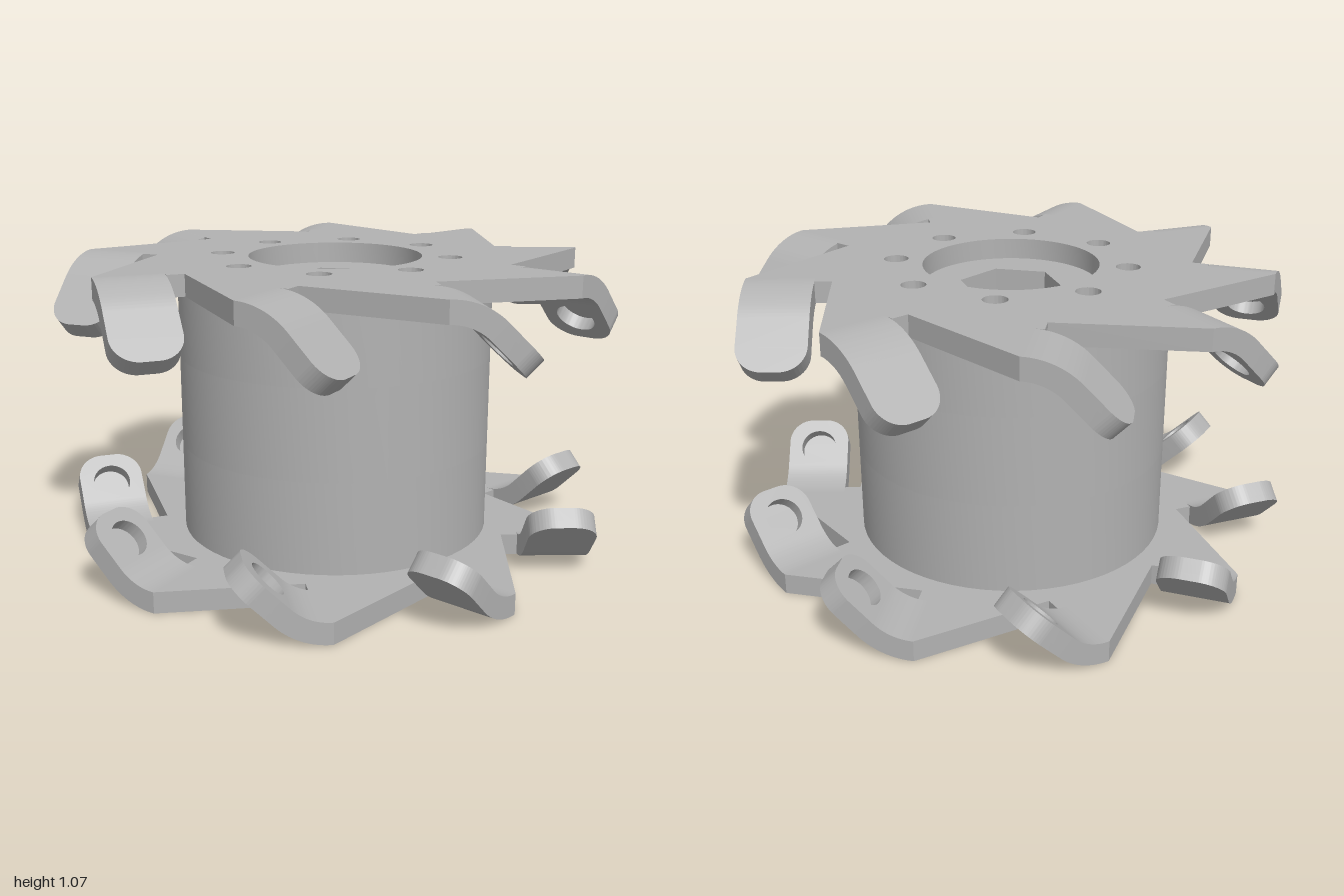
import * as THREE from 'three';
import { mergeGeometries, toCreasedNormals } from 'three/addons/utils/BufferGeometryUtils.js';

const BLADES = 9, STEP = (Math.PI * 2) / BLADES;
const T = 0.075;                    // plate thickness
const HEIGHT = 1.065;
const U0 = 0.17, R = 0.26;          // bend start and outer bend radius
const V0 = 0.66, W = 0.235;         // inner edge and width of a blade
const BEND = Math.PI / 4, TIP = 0.193;
const BOLT_TILT = -0.05;

const steel = new THREE.MeshStandardMaterial({ color: 0xb2b2b2 });
steel.name = 'steel grey';

function mesh(name, geometry) {
  const m = new THREE.Mesh(geometry, steel);
  m.name = name;
  return m;
}

const extrude = (shape, depth) => toCreasedNormals(
  new THREE.ExtrudeGeometry(shape, { depth, bevelEnabled: false, curveSegments: 32 }), 0.5);

// Extrude a plan-view shape upwards
const slab = (shape, depth) => extrude(shape, depth).rotateX(-Math.PI / 2);

function circle(x, y, r) {
  const p = new THREE.Path();
  p.absarc(x, y, r, 0, Math.PI * 2, true);
  return p;
}

function hexagon(r, turn) {
  const pts = [];
  for (let i = 0; i < 6; i++) {
    const a = turn - (i * Math.PI) / 3;
    pts.push(new THREE.Vector2(Math.cos(a) * r, Math.sin(a) * r));
  }
  return new THREE.Path(pts);
}

function boltHoles(tilt) {
  return Array.from({ length: 8 }, (_, i) => {
    const a = tilt + (i * Math.PI) / 4;
    return circle(Math.cos(a) * 0.41, Math.sin(a) * 0.41, 0.043);
  });
}

// Star-shaped plate with relief notches, bolt holes and a large centre opening
function plateGeometry(tilt) {
  const tooth = [[-U0, V0 + W], [-U0, V0], [-0.21, V0], [-0.21, 0.6]];
  const pts = [];
  for (let k = 0; k < BLADES; k++) {
    for (const [x, y] of tooth) {
      pts.push(new THREE.Vector2(x, y).rotateAround(new THREE.Vector2(), k * STEP));
    }
  }
  const shape = new THREE.Shape(pts);
  shape.holes.push(circle(0, 0, 0.31), ...boltHoles(tilt));
  return slab(shape, T);
}

// Blade end: curved bend, then a straight rounded tip with a blind round seat inside
function bladeGeometry() {
  const bend = new THREE.Shape();
  bend.absarc(U0, T - R, R, Math.PI / 2, Math.PI / 2 - BEND, true);
  bend.absarc(U0, T - R, R - T, Math.PI / 2 - BEND, Math.PI / 2, false);
  bend.closePath();
  const bendGeo = extrude(bend, W).translate(0, 0, V0);

  const tipShape = () => {
    const r = 0.09, s = new THREE.Shape();
    s.moveTo(0, 0);
    s.lineTo(TIP - r, 0);
    s.absarc(TIP - r, r, r, -Math.PI / 2, 0, false);
    s.absarc(TIP - r, W - r, r, 0, Math.PI / 2, false);
    s.lineTo(0, W);
    s.closePath();
    return s;
  };
  const skin = 0.025;
  const seat = tipShape();
  seat.holes.push(circle(TIP - 0.115, W / 2, 0.068));
  const layers = [
    extrude(tipShape(), skin),
    extrude(seat, T - skin).translate(0, 0, skin),
  ].map((g) => g.rotateX(Math.PI / 2).rotateZ(-BEND)
    .translate(U0 + R * Math.sin(BEND), T - R + R * Math.cos(BEND), V0));
  return mergeGeometries([bendGeo, ...layers]);
}

function bladedPlate(name, tilt, blade) {
  const g = new THREE.Group();
  g.name = name;
  g.add(mesh('plate', plateGeometry(tilt)));
  for (let k = 0; k < BLADES; k++) {
    const b = mesh('bentBlade', blade);
    b.rotation.y = Math.PI + k * STEP;
    g.add(b);
  }
  return g;
}

// One layer of the drum, with its own centre opening
function drumLayer(name, y0, y1, opening) {
  const s = new THREE.Shape();
  s.absarc(0, 0, 0.562, 0, Math.PI * 2, false);
  s.holes.push(opening, ...boltHoles(BOLT_TILT));
  const m = mesh(name, slab(s, y1 - y0));
  m.position.y = y0;
  return m;
}

export function createModel() {
  const root = new THREE.Group();
  root.name = 'bladedDrum';
  const rotor = new THREE.Group();
  rotor.name = 'rotor';
  rotor.position.z = -0.017;
  root.add(rotor);

  // Drum: round bore below, hexagonal socket above, small through hole between
  rotor.add(
    drumLayer('drumLower', T, 0.4, circle(0, 0, 0.143)),
    drumLayer('drumMiddle', 0.4, 0.72, circle(0, 0, 0.06)),
    drumLayer('drumUpper', 0.72, HEIGHT - T, hexagon(0.183, -0.4)),
  );

  // The same plate twice, the lower one turned over
  const blade = bladeGeometry();
  const top = bladedPlate('topPlate', BOLT_TILT, blade);
  top.position.y = HEIGHT - T;
  const bottom = bladedPlate('bottomPlate', -BOLT_TILT, blade);
  bottom.rotation.z = Math.PI;
  bottom.position.y = T;
  rotor.add(top, bottom);
  return root;
}
